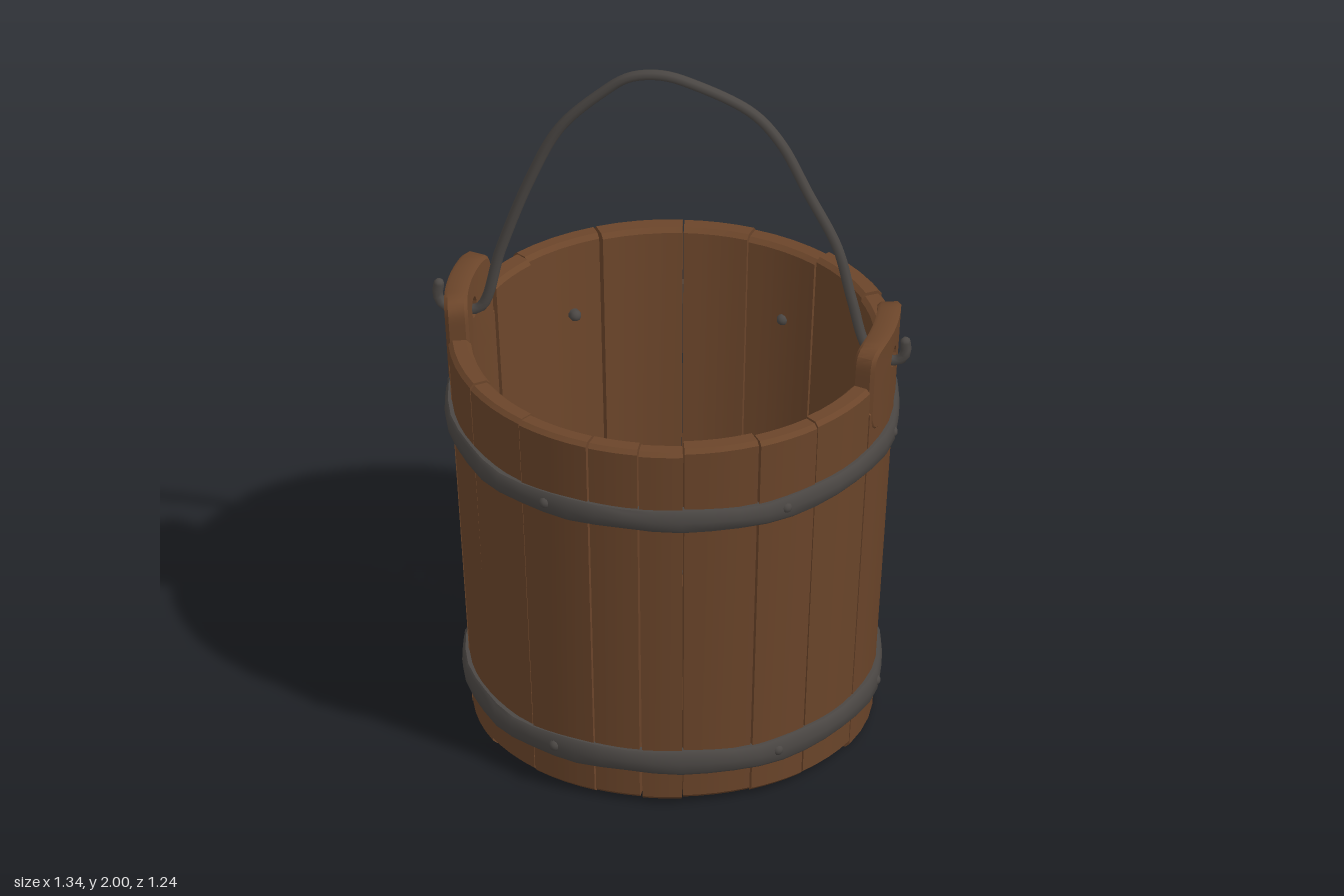
import * as THREE from 'three';
import { toCreasedNormals } from 'three/addons/utils/BufferGeometryUtils.js';

const wood = new THREE.MeshStandardMaterial({ color: 0x6b452a });
wood.name = 'brown wood';
const iron = new THREE.MeshStandardMaterial({ color: 0x4b4744 });
iron.name = 'dark iron';

const WALL = 0.06;
const outerRadius = (y) => 0.545 + 0.06 * y;

// Seeded jitter in -1..1
let seed = 7;
const jitter = () => {
  seed = (seed * 16807) % 2147483647;
  return (seed / 2147483647) * 2 - 1;
};

function addMesh(parent, name, geometry, material) {
  const mesh = new THREE.Mesh(geometry, material);
  mesh.name = name;
  parent.add(mesh);
  return mesh;
}

// Move every vertex by a rule
function reshape(geometry, rule) {
  const p = geometry.attributes.position;
  const v = new THREE.Vector3();
  for (let i = 0; i < p.count; i++) {
    rule(v.fromBufferAttribute(p, i));
    p.setXYZ(i, v.x, v.y, v.z);
  }
  return toCreasedNormals(geometry, 0.6);
}

const setPolar = (v, r, angle, y) => v.set(r * Math.cos(angle), y, r * Math.sin(angle));

// One curved stave between two angles, with bevelled ends and a slight lean
function staveGeometry(a0, a1, bottom, top, push, lean) {
  const gap = 0.004;
  const bevel = 0.012;
  const rows = [bottom, bottom + bevel, top - bevel, top];
  return reshape(new THREE.BoxGeometry(1, 1, 1, 4, 3, 1), (v) => {
    const row = Math.round((v.y + 0.5) * 3);
    const y = rows[row];
    const end = row === 0 || row === 3;
    const t = 0.5 - v.x;
    const angle = a0 + gap + (a1 - a0 - 2 * gap) * t + lean * (1 - y / 1.16) * Math.sin(Math.PI * (t * 0.6 + 0.2));
    const inset = end ? bevel : 0;
    const r = v.z > 0 ? outerRadius(y) + push - inset : outerRadius(y) - WALL + push * 2 + inset;
    setPolar(v, r, angle, y);
  });
}

// Rounded lug with a round hole, bent to the wall of the pail
function earGeometry(middle) {
  const holeY = 1.175;
  const holeR = 0.03;
  const profile = [[1, 0], [1.5, 0], [1.93, 0], [2, 0.15], [2, 0.85], [1.93, 1], [1.5, 1], [1, 1], [1, 0]];
  const points = profile.map(([x, y]) => new THREE.Vector2(x, y));
  return reshape(new THREE.LatheGeometry(points, 56), (v) => {
    const a = Math.atan2(v.z, v.x);
    const t = Math.hypot(v.x, v.z) - 1;
    const c = Math.cos(a);
    const s = Math.sin(a);
    const tall = s > 0 ? 0.097 : 0.175;
    const edge = Math.pow(Math.pow(Math.abs(c) / 0.166, 6) + Math.pow(Math.abs(s) / tall, 6), -1 / 6);
    const d = holeR + (edge - holeR) * t;
    const y = holeY + d * s;
    const r = outerRadius(y) + 0.002 - (WALL + 0.004) * (1 - v.y);
    setPolar(v, r, middle + (d * c) / 0.615, y);
  });
}

// Hammered iron band
function hoopGeometry(y, radius, height) {
  const h = height / 2;
  const profile = [[-0.03, -h], [-0.006, -h], [0, -h + 0.008], [0.003, 0], [0, h - 0.008], [-0.006, h], [-0.03, h], [-0.03, -h]];
  const points = profile.map(([r, dy]) => new THREE.Vector2(radius + r, dy));
  return reshape(new THREE.LatheGeometry(points, 48), (v) => {
    const a = Math.atan2(v.z, v.x);
    const wave = 1 + 0.003 * Math.sin(a * 9) + 0.003 * Math.sin(a * 14 + 1);
    v.set(v.x * wave, y + v.y * (1 + 0.07 * Math.sin(a * 11)) + 0.004 * Math.sin(a * 5), v.z * wave);
  });
}

// Floor plank: a strip of the round floor between two x positions
function plankGeometry(x0, x1, radius, depth) {
  const shape = new THREE.Shape();
  const steps = 8;
  for (let side = 1; side >= -1; side -= 2) {
    for (let i = 0; i <= steps; i++) {
      const t = side > 0 ? i / steps : 1 - i / steps;
      const x = x0 + (x1 - x0) * t;
      const y = side * Math.sqrt(Math.max(0, radius * radius - x * x));
      if (side > 0 && i === 0) shape.moveTo(x, y);
      else shape.lineTo(x, y);
    }
  }
  return new THREE.ExtrudeGeometry(shape, { depth, bevelEnabled: false }).rotateX(-Math.PI / 2);
}

export function createModel() {
  const model = new THREE.Group();
  model.name = 'woodenPail';

  // Staves: seams measured from the front and from the back
  const staves = new THREE.Group();
  staves.name = 'staves';
  model.add(staves);
  const EAR = 0.275;
  const quarter = Math.PI / 2;
  const frontSeams = [-quarter + EAR, -0.9, -0.53, -0.17, 0.065, 0.27, 0.62, 0.92, quarter - EAR];
  const backSeams = [-quarter + EAR, -1.0, -0.58, -0.17, 0.16, 0.56, 0.97, quarter - EAR];
  [[frontSeams, quarter], [backSeams, -quarter]].forEach(([seams, facing]) => {
    for (let i = 0; i < seams.length - 1; i++) {
      const sign = facing > 0 ? -1 : 1;
      const ends = [facing + sign * seams[i], facing + sign * seams[i + 1]].sort((a, b) => a - b);
      const geometry = staveGeometry(ends[0], ends[1], 0.006 + 0.006 * jitter(), 1.16 + 0.005 * jitter(), 0.005 * jitter(), 0.02 * jitter());
      addMesh(staves, 'stave', geometry, wood);
    }
  });

  // Long side staves with pierced ears
  [0, Math.PI].forEach((angle) => {
    addMesh(staves, 'earStave', staveGeometry(angle - EAR, angle + EAR, 0, 1.09, 0, 0), wood);
    addMesh(staves, 'ear', earGeometry(angle), wood);
  });

  // Floor planks
  const floor = new THREE.Group();
  floor.name = 'floor';
  model.add(floor);
  const cuts = [-0.5, -0.31, -0.17, 0.01, 0.1, 0.21, 0.36, 0.5];
  for (let i = 0; i < cuts.length - 1; i++) {
    const plank = addMesh(floor, 'floorPlank', plankGeometry(cuts[i], cuts[i + 1], 0.5, 0.06), wood);
    plank.position.y = 0.04 + (i % 2) * 0.004;
  }
  const ring = addMesh(floor, 'floorRing', new THREE.TorusGeometry(0.486, 0.006, 6, 48), iron);
  ring.rotation.x = quarter;
  ring.position.y = 0.106;

  // Iron hoops with rivets running through the wall
  const rivetAngles = [0, 47, 112, 180, 228, 291];
  [['upperHoop', 0.935, 0.618, 0.064], ['lowerHoop', 0.136, 0.57, 0.068]].forEach(([name, y, radius, height]) => {
    const hoop = new THREE.Group();
    hoop.name = name;
    model.add(hoop);
    addMesh(hoop, 'band', hoopGeometry(y, radius, height), iron);
    rivetAngles.forEach((degrees) => {
      const a = THREE.MathUtils.degToRad(degrees);
      const rivet = addMesh(hoop, 'rivet', new THREE.CapsuleGeometry(0.017, 0.07, 4, 10), iron);
      setPolar(rivet.position, radius - 0.042, a, y);
      rivet.rotation.set(0, -a, quarter);
    });
  });

  // Bent wire handle, hooked through both ears
  const path = [
    [-0.652, 1.238], [-0.655, 1.2], [-0.635, 1.17], [-0.59, 1.165], [-0.535, 1.18], [-0.48, 1.37], [-0.4, 1.6],
    [-0.315, 1.78], [-0.2, 1.905], [-0.12, 1.967], [-0.03, 1.985], [0.06, 1.967], [0.22, 1.9], [0.3, 1.815],
    [0.38, 1.66], [0.46, 1.5], [0.5, 1.34], [0.545, 1.19], [0.59, 1.165], [0.63, 1.165], [0.65, 1.19], [0.65, 1.225],
  ].map(([x, y]) => new THREE.Vector3(x, y, 0));
  const handle = new THREE.Group();
  handle.name = 'handle';
  model.add(handle);
  const curve = new THREE.CatmullRomCurve3(path, false, 'centripetal');
  addMesh(handle, 'handleWire', new THREE.TubeGeometry(curve, 120, 0.015, 8), iron);
  [path[0], path[path.length - 1]].forEach((end) => {
    addMesh(handle, 'handleTip', new THREE.SphereGeometry(0.015, 8, 6), iron).position.copy(end);
  });

  return model;
}
